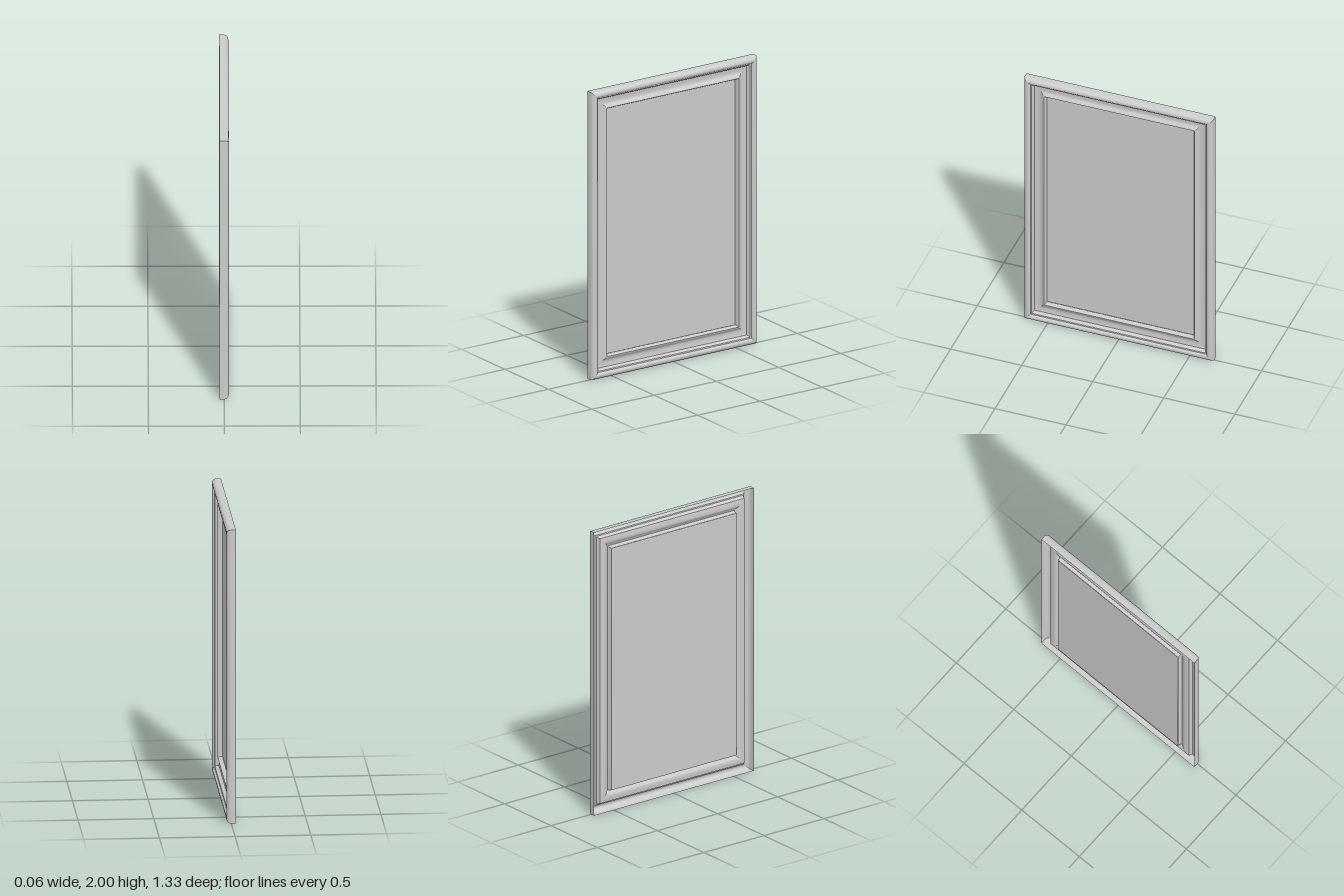
import * as THREE from 'three';
import { toCreasedNormals } from 'three/addons/utils/BufferGeometryUtils.js';

const HALF_W = 0.665, HALF_H = 1, MID_Y = 1;

// Moulding section, from the outer back edge to the panel: [inset, x]
const PROFILE = [
  [0, -0.03], [0, 0.005], [0.003, 0.015], [0.009, 0.023], [0.017, 0.028], [0.026, 0.03],
  [0.034, 0.029], [0.041, 0.024], [0.045, 0.016],
  [0.053, 0.014], [0.057, 0.009], [0.06, 0.0], [0.064, -0.011],
  [0.085, -0.014], [0.104, -0.015],
  [0.112, -0.012], [0.121, -0.005], [0.13, 0.001], [0.136, 0.002],
  [0.14, -0.004], [0.142, -0.014], [0.145, -0.029],
];

// One mitred rail: the section is swept from corner a to corner b
function railGeometry(a, b) {
  const at = ([inset, x], [sy, sz]) => [x, MID_Y + sy * (HALF_H - inset), sz * (HALF_W - inset)];
  const positions = [];
  for (let i = 0; i < PROFILE.length - 1; i++) {
    const p = at(PROFILE[i], a), q = at(PROFILE[i], b);
    const r = at(PROFILE[i + 1], b), s = at(PROFILE[i + 1], a);
    positions.push(...p, ...q, ...r, ...p, ...r, ...s);
  }
  const geometry = new THREE.BufferGeometry();
  geometry.setAttribute('position', new THREE.Float32BufferAttribute(positions, 3));
  return toCreasedNormals(geometry, 0.6);
}

export function createModel() {
  const model = new THREE.Group();
  model.name = 'framedPanel';
  const material = new THREE.MeshStandardMaterial({ color: 0xcccccc, side: THREE.DoubleSide });

  // Hollow moulded frame, running anticlockwise as seen from +x
  const frame = new THREE.Group();
  frame.name = 'frame';
  const corners = [[-1, 1], [-1, -1], [1, -1], [1, 1]];
  ['bottomRail', 'backRail', 'topRail', 'frontRail'].forEach((name, i) => {
    const rail = new THREE.Mesh(railGeometry(corners[i], corners[(i + 1) % 4]), material);
    rail.name = name;
    frame.add(rail);
  });
  model.add(frame);

  // Flat sheet set at the back of the frame
  const inset = PROFILE[PROFILE.length - 1][0];
  const panel = new THREE.Mesh(
    new THREE.PlaneGeometry(2 * (HALF_W - inset), 2 * (HALF_H - inset)), material);
  panel.name = 'panel';
  panel.rotation.y = Math.PI / 2;
  panel.position.set(-0.03, MID_Y, 0);
  model.add(panel);

  return model;
}
